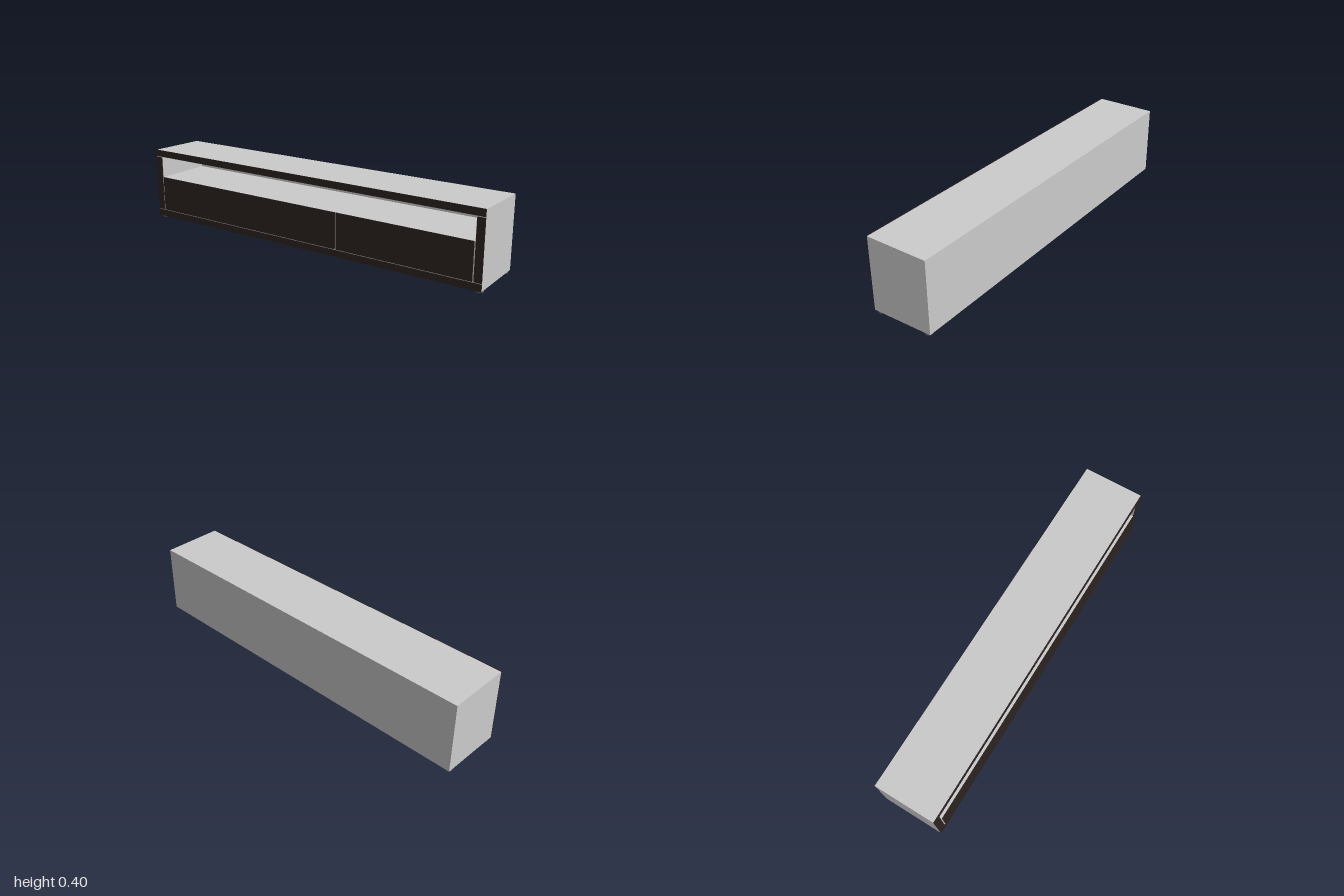
import * as THREE from 'three';

const grey = new THREE.MeshStandardMaterial({ color: 0xcccccc });
const darkWood = new THREE.MeshStandardMaterial({ color: 0x2b2320 });
const footGrey = new THREE.MeshStandardMaterial({ color: 0x555b64 });

const FRONT = 0.162, BACK = -0.165;   // carcass depth
const BASE = 0.01;                    // underside of the carcass
const INNER = 0.957;                  // half width of the open niche
const SHELF = 0.24, CEILING = 0.357;  // niche floor and ceiling

export function createModel() {
  const group = new THREE.Group();
  const add = (name, geometry, material, x = 0, y = 0, z = 0) => {
    const mesh = new THREE.Mesh(geometry, material);
    mesh.name = name;
    mesh.position.set(x, y, z);
    group.add(mesh);
  };

  // Side profile given as [z, y] points, extruded along x from x0 to x1
  const profile = (points, x0, x1) => {
    const shape = new THREE.Shape(points.map(([z, y]) => new THREE.Vector2(z, y)));
    return new THREE.ExtrudeGeometry(shape, { depth: x1 - x0, bevelEnabled: false })
      .rotateY(-Math.PI / 2).translate(x1, 0, 0);
  };

  // Thin front panel covering x0..x1, y0..y1
  const panel = (name, x0, x1, y0, y1) =>
    add(name, new THREE.BoxGeometry(x1 - x0, y1 - y0, 0.004), darkWood,
      (x0 + x1) / 2, (y0 + y1) / 2, FRONT + 0.002);

  // Carcass: the top falls slightly to the back, the niche opens to the front
  const outer = [[FRONT, 0.394], [BACK, 0.387], [BACK, BASE], [FRONT, BASE]];
  const niche = [[FRONT, SHELF], [BACK + 0.01, SHELF], [BACK + 0.01, CEILING], [FRONT, CEILING]];
  add('carcass', profile([...outer, ...niche], -INNER, INNER), grey);
  add('leftSide', profile(outer, INNER, 1), grey);
  add('rightSide', profile(outer, -1, -INNER), grey);

  // Front frame strips, with small reveals between them
  panel('topTrim', -1, 1, 0.359, 0.395);
  panel('bottomTrim', -1, 1, BASE, 0.045);
  panel('leftTrim', 0.96, 1, 0.049, 0.354);
  panel('rightTrim', -1, -0.96, 0.049, 0.354);

  // Drawer fronts
  panel('wideDrawerFront', -0.953, 0.218, 0.049, SHELF);
  panel('narrowDrawerFront', 0.225, 0.953, 0.049, SHELF);

  // Feet
  for (const x of [-0.98, 0.98]) {
    for (const z of [-0.14, 0.137]) {
      add('foot', new THREE.CylinderGeometry(0.019, 0.019, BASE, 24), footGrey, x, BASE / 2, z);
    }
  }
  return group;
}
